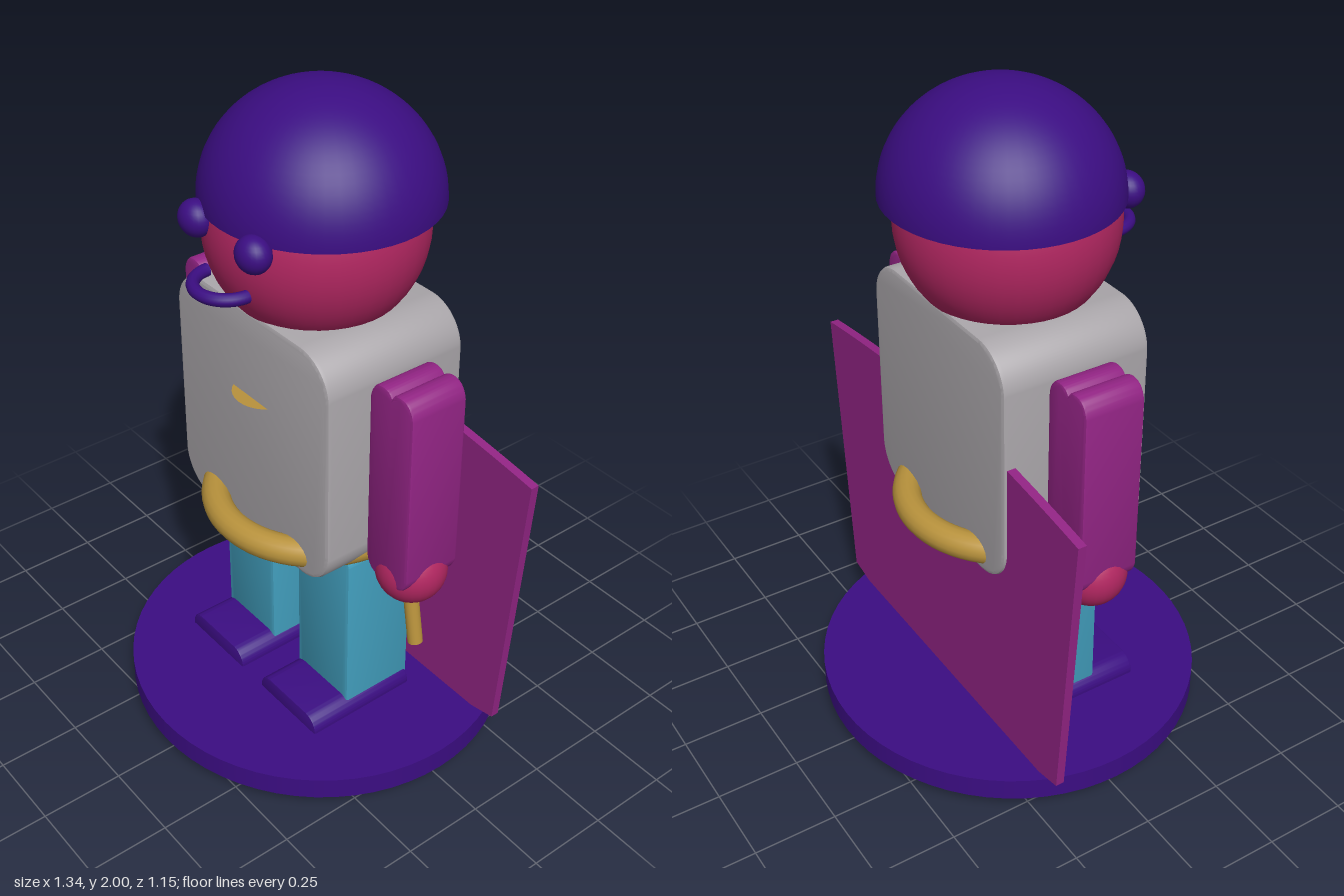
import * as THREE from 'three';
import { toCreasedNormals } from 'three/addons/utils/BufferGeometryUtils.js';

const mat = (name, color, side = THREE.FrontSide) => {
  const m = new THREE.MeshStandardMaterial({ color, side });
  m.name = name;
  return m;
};

// Rounded rectangle outline centred on the origin
function roundedRect(w, h, r) {
  const s = new THREE.Shape();
  const x = w / 2 - r, y = h / 2 - r;
  s.absarc(x, y, r, 0, Math.PI / 2);
  s.absarc(-x, y, r, Math.PI / 2, Math.PI);
  s.absarc(-x, -y, r, Math.PI, Math.PI * 1.5);
  s.absarc(x, -y, r, Math.PI * 1.5, Math.PI * 2);
  s.closePath();
  return s;
}

// Extrude along z, centred, with a small bevel kept inside the outline
function slab(shape, depth, bevel = 0) {
  const g = new THREE.ExtrudeGeometry(shape, {
    depth: depth - 2 * bevel, curveSegments: 10, bevelEnabled: bevel > 0,
    bevelSize: bevel, bevelThickness: bevel, bevelOffset: -bevel, bevelSegments: 2,
  });
  g.translate(0, 0, -depth / 2 + bevel);
  return toCreasedNormals(g, 0.6);
}

export function createModel() {
  const model = new THREE.Group();
  model.name = 'figurine';

  const indigo = mat('indigo', 0x3b0d82, THREE.DoubleSide);
  const skin = mat('crimson', 0xb02660);
  const purple = mat('magenta purple', 0x922484);
  const grey = mat('warm grey', 0xaaa6aa);
  const teal = mat('teal blue', 0x429fbe);
  const gold = mat('gold', 0xb8923c, THREE.DoubleSide);

  const add = (name, geometry, material, x = 0, y = 0, z = 0) => {
    const mesh = new THREE.Mesh(geometry, material);
    mesh.name = name;
    mesh.position.set(x, y, z);
    model.add(mesh);
    return mesh;
  };

  // Display base, slightly oval
  add('base', new THREE.CylinderGeometry(0.593, 0.593, 0.07, 64), indigo, 0, 0.083, 0).scale.z = 0.97;

  // Torso and belt
  add('torso', slab(roundedRect(0.685, 0.75, 0.125), 0.46, 0.012), grey, 0, 1.045, 0);
  add('belt', new THREE.TorusGeometry(0.297, 0.043, 16, 64).rotateX(Math.PI / 2), gold, 0, 0.728, 0);

  // Flat chest badge lying level, its front edge showing through the chest
  add('chestBadge', new THREE.CircleGeometry(0.1, 32).rotateX(-Math.PI / 2), gold, 0, 1.15, 0.17);

  // Head, helmet and face
  add('head', new THREE.SphereGeometry(0.308, 40, 28), skin, 0, 1.615, 0);
  add('helmet', new THREE.SphereGeometry(1, 48, 20, 0, Math.PI * 2, 0, Math.PI / 2), indigo, 0, 1.69, -0.018)
    .scale.set(0.337, 0.31, 0.328);
  add('mouth', new THREE.TorusGeometry(0.089, 0.018, 12, 32, Math.PI).rotateX(Math.PI / 2), indigo, 0, 1.53, 0.293);

  // Arm outline with a shallow groove along its top and bottom
  const arm = new THREE.Shape();
  const a = 0.085, h = 0.315;
  arm.moveTo(-a, -h + 0.05);
  arm.quadraticCurveTo(-a + 0.01, -h, -0.035, -h);
  arm.quadraticCurveTo(-0.01, -h, 0, -h + 0.018);
  arm.quadraticCurveTo(0.01, -h, 0.035, -h);
  arm.quadraticCurveTo(a - 0.01, -h, a, -h + 0.05);
  arm.lineTo(a, h - 0.05);
  arm.quadraticCurveTo(a - 0.01, h, 0.035, h);
  arm.quadraticCurveTo(0.01, h, 0, h - 0.018);
  arm.quadraticCurveTo(-0.01, h, -0.035, h);
  arm.quadraticCurveTo(-a + 0.01, h, -a, h - 0.05);
  const armGeometry = slab(arm, 0.185, 0.008);
  const handGeometry = new THREE.SphereGeometry(0.103, 28, 20);
  const legGeometry = slab(roundedRect(0.235, 0.69, 0.05), 0.235, 0.006);
  const shoeGeometry = slab(roundedRect(0.268, 0.11, 0.05), 0.365, 0.006);
  const eyeGeometry = new THREE.SphereGeometry(0.054, 24, 16);

  // Paired parts
  for (const [side, s] of [['left', 1], ['right', -1]]) {
    add(side + 'Arm', armGeometry, purple, s * 0.427, 1.015, 0);
    add(side + 'Hand', handGeometry, skin, s * 0.428, 0.712, 0);
    add(side + 'Leg', legGeometry, teal, s * 0.181, 0.373, 0.002);
    add(side + 'Shoe', shoeGeometry, indigo, s * 0.182, 0.116, 0.072);
    add(side + 'Eye', eyeGeometry, indigo, s * 0.125, 1.668, 0.297).scale.set(1, 0.95, 0.85);
  }

  // Short rod held in the left hand
  add('rod', new THREE.CylinderGeometry(0.022, 0.022, 0.24, 20), gold, 0.46, 0.598, 0.02).rotation.z = 0.17;

  // Stiff cape with pointed hem
  const cape = new THREE.Shape();
  cape.moveTo(0, 0.003);
  cape.lineTo(0.6, 0.138);
  cape.lineTo(0.672, 1.035);
  cape.quadraticCurveTo(0.34, 1.085, 0, 1.1);
  cape.quadraticCurveTo(-0.34, 1.085, -0.672, 1.035);
  cape.lineTo(-0.6, 0.138);
  cape.closePath();
  add('cape', slab(cape, 0.026), purple, 0, 0, -0.207);

  return model;
}
